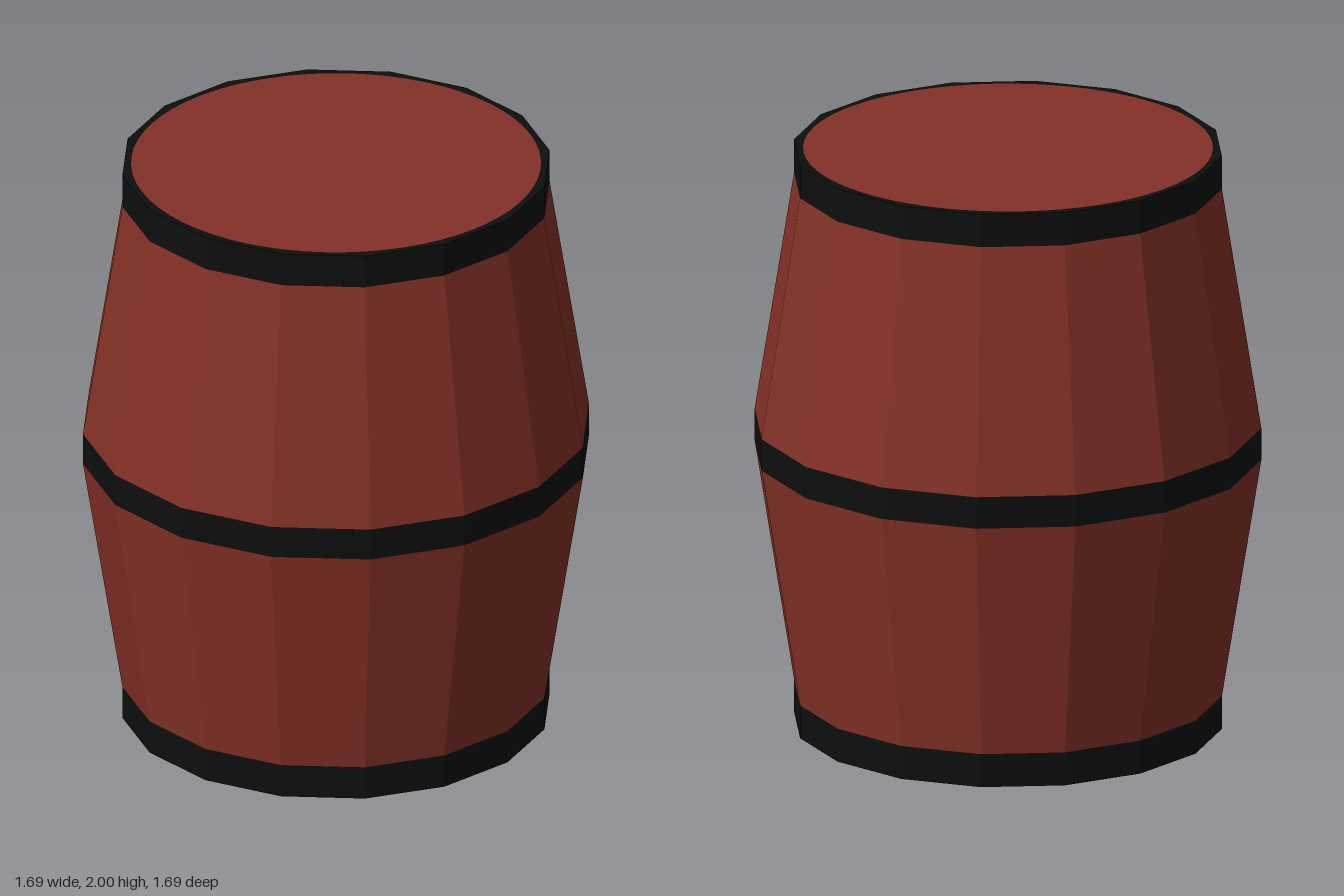
import * as THREE from 'three';

const SIDES = 16;
const END_R = 0.715, BELLY_R = 0.847, HEAD_R = 0.68;

export function createModel() {
  const barrel = new THREE.Group();
  barrel.name = 'barrel';

  const wood = new THREE.MeshStandardMaterial({ color: 0x843127 });
  wood.name = 'red brown wood';
  const iron = new THREE.MeshStandardMaterial({ color: 0x0d0e0e });
  iron.name = 'black iron';

  const add = (name, geometry, material, y) => {
    const mesh = new THREE.Mesh(geometry, material);
    mesh.name = name;
    mesh.position.y = y;
    barrel.add(mesh);
    return mesh;
  };

  // Faceted open band between two heights
  const band = (name, material, y0, y1, r0, r1) => {
    const g = new THREE.CylinderGeometry(r1, r0, y1 - y0, SIDES, 1, true).toNonIndexed();
    g.computeVertexNormals();
    add(name, g, material, (y0 + y1) / 2);
  };

  // Staves and hoops, flush with each other
  band('bottomHoop', iron, 0, 0.115, END_R, END_R);
  band('lowerStaves', wood, 0.115, 0.945, END_R, BELLY_R);
  band('middleHoop', iron, 0.945, 1.055, BELLY_R, BELLY_R);
  band('upperStaves', wood, 1.055, 1.885, BELLY_R, END_R);
  band('topHoop', iron, 1.885, 2, END_R, END_R);

  // Sixteen-sided rim with a round opening, filled by the wooden head
  const rimShape = new THREE.Shape();
  for (let i = 0; i < SIDES; i++) {
    const a = (i / SIDES) * Math.PI * 2;
    rimShape[i ? 'lineTo' : 'moveTo'](END_R * Math.cos(a), END_R * Math.sin(a));
  }
  rimShape.holes.push(new THREE.Path().absarc(0, 0, HEAD_R, 0, Math.PI * 2, true));
  const rimGeometry = new THREE.ShapeGeometry(rimShape, 32);
  const headGeometry = new THREE.CircleGeometry(HEAD_R, 64);

  for (const [end, y, tilt] of [['top', 2, -1], ['bottom', 0, 1]]) {
    add(end + 'Rim', rimGeometry, iron, y).rotation.x = (tilt * Math.PI) / 2;
    add(end + 'Head', headGeometry, wood, y).rotation.x = (tilt * Math.PI) / 2;
  }
  return barrel;
}
